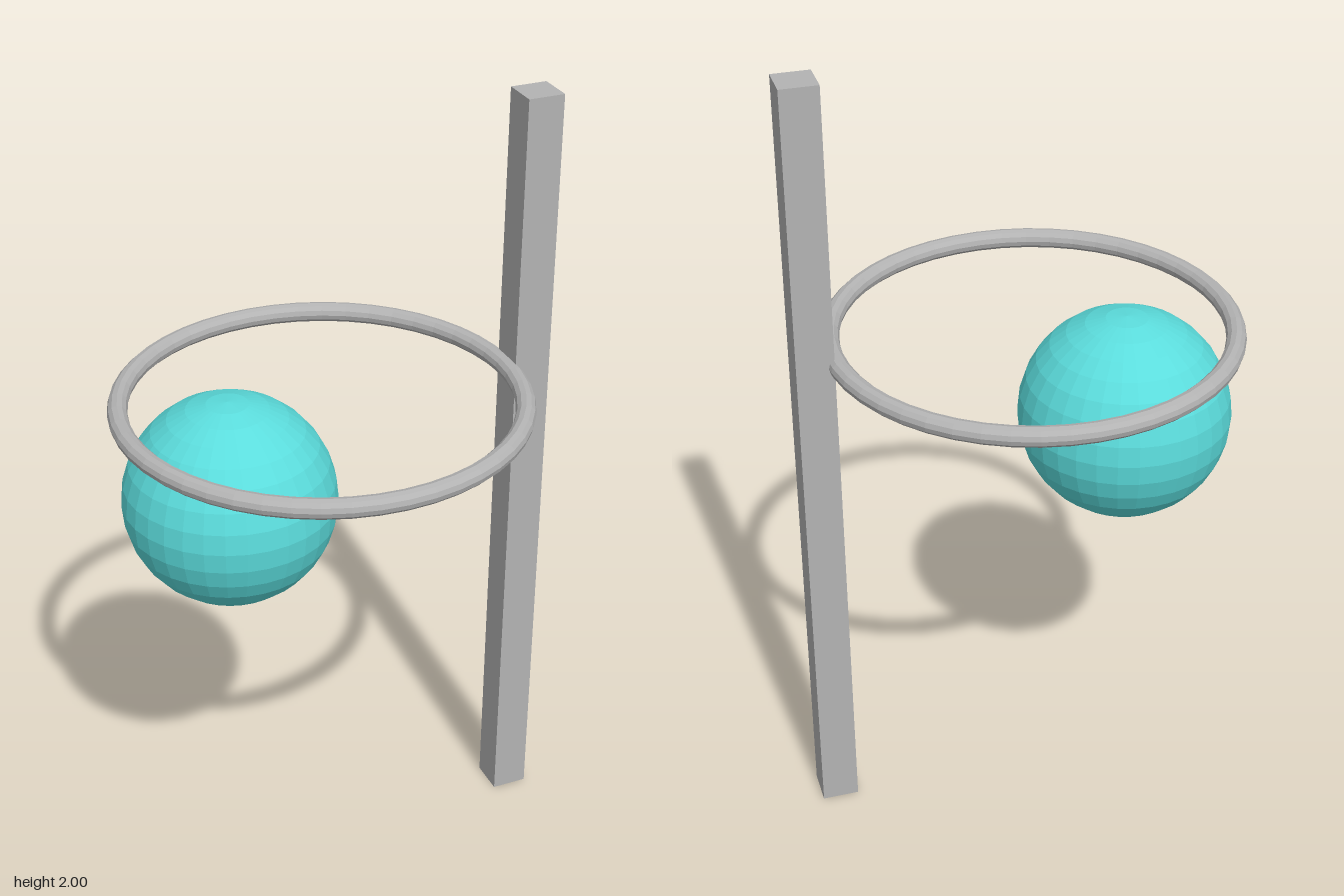
import * as THREE from 'three';

export function createModel() {
  const group = new THREE.Group();
  const grey = new THREE.MeshStandardMaterial({ color: 0xb3b3b3, flatShading: true });
  grey.name = 'grey';
  const turquoise = new THREE.MeshStandardMaterial({ color: 0x5bdcdc, flatShading: true });
  turquoise.name = 'turquoise';

  const add = (name, geometry, material, x, y, z) => {
    const mesh = new THREE.Mesh(geometry, material);
    mesh.name = name;
    mesh.position.set(x, y, z);
    group.add(mesh);
    return mesh;
  };

  // Tall square post on the model's left
  add('post', new THREE.BoxGeometry(0.092, 2, 0.092), grey, 0.501, 1, 0);

  // Level hoop touching the post
  const hoop = add('hoop', new THREE.TorusGeometry(0.487, 0.0245, 12, 48), grey, -0.039, 1.3, 0);
  hoop.rotation.x = Math.PI / 2;

  // Ball dropping through the hoop
  add('ball', new THREE.SphereGeometry(0.264, 32, 16), turquoise, -0.262, 1.06, -0.046);

  return group;
}
